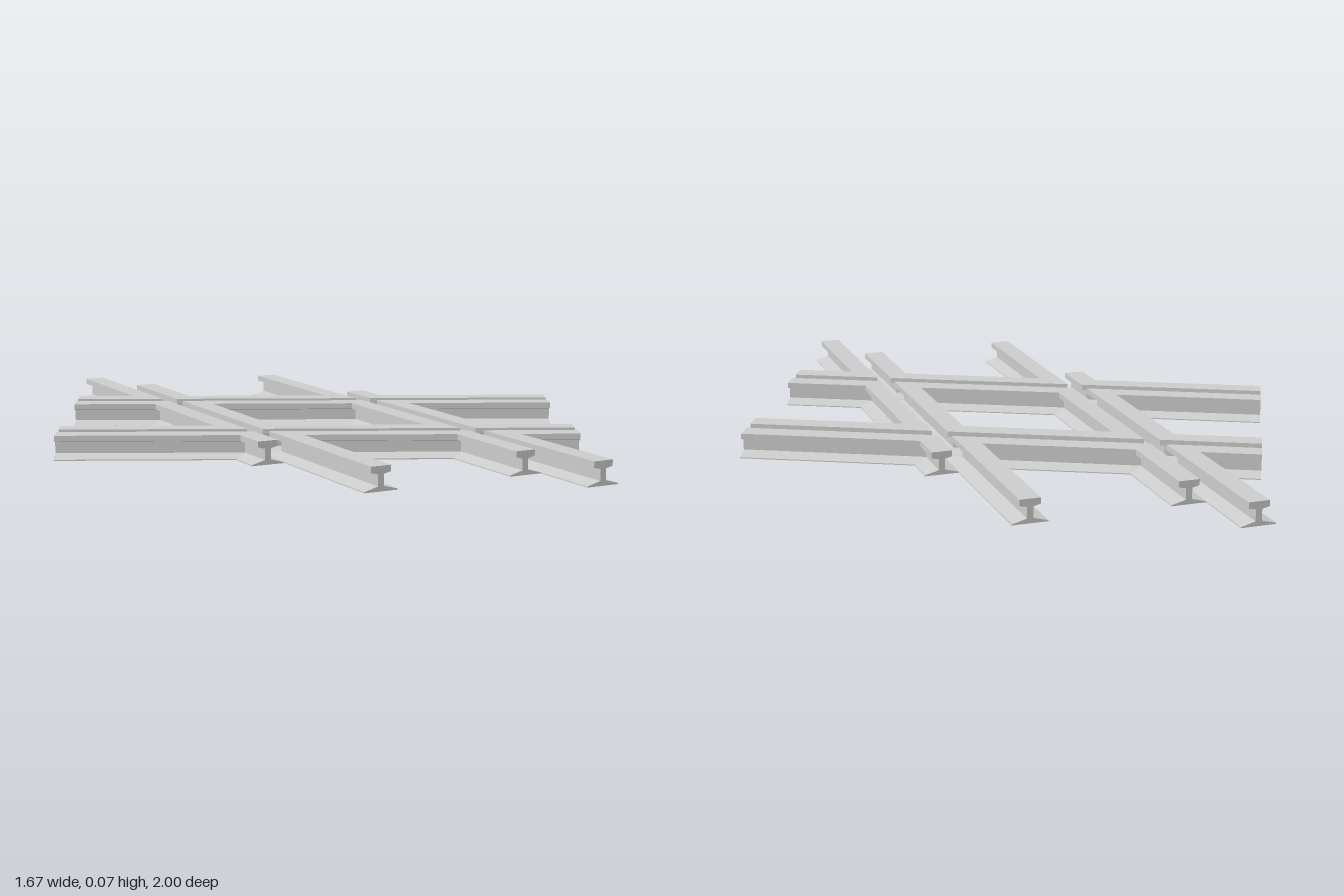
import * as THREE from 'three';

// Rail cross-section: [distance from flangeway centre line, height], counter-clockwise
const PROFILE = [
  [0, 0], [0.1, 0], [0.1, 0.003], [0.059, 0.014], [0.059, 0.046], [0.08, 0.051], [0.08, 0.068],
  [0.02, 0.068], [0.02, 0.051], [0.041, 0.046], [0.041, 0.014], [0, 0.003],
].map(([d, y]) => new THREE.Vector2(d, y));

// Sweeps the profile along a path in the x/z plane, mitring every corner
function sweepRail(path, closed) {
  const pts = path.map(([x, z]) => new THREE.Vector2(x, z));
  const n = pts.length;
  const normal = (a, b) => {
    const t = b.clone().sub(a).normalize();
    return new THREE.Vector2(-t.y, t.x);
  };
  const sections = pts.map((p, i) => {
    const hasPrev = closed || i > 0, hasNext = closed || i < n - 1;
    const n1 = hasPrev ? normal(pts[(i + n - 1) % n], p) : normal(p, pts[i + 1]);
    const n2 = hasNext ? normal(p, pts[(i + 1) % n]) : n1;
    const m = n1.clone().add(n2).divideScalar(1 + n1.dot(n2));
    return PROFILE.map((q) => [p.x + m.x * q.x, q.y, p.y + m.y * q.x]);
  });

  const pos = [];
  const tri = (a, b, c) => pos.push(...a, ...b, ...c);
  const spans = closed ? n : n - 1;
  for (let i = 0; i < spans; i++) {
    const s = sections[i], e = sections[(i + 1) % n];
    for (let k = 0; k < s.length; k++) {
      const j = (k + 1) % s.length;
      tri(s[k], e[k], s[j]);
      tri(s[j], e[k], e[j]);
    }
  }
  // Sawn rail ends
  if (!closed) {
    const first = sections[0], last = sections[n - 1];
    for (const [a, b, c] of THREE.ShapeUtils.triangulateShape(PROFILE, [])) {
      tri(first[a], first[b], first[c]);
      tri(last[a], last[c], last[b]);
    }
  }
  const geo = new THREE.BufferGeometry();
  geo.setAttribute('position', new THREE.Float32BufferAttribute(pos, 3));
  geo.computeVertexNormals();
  return geo;
}

export function createModel() {
  const group = new THREE.Group();
  group.name = 'railCrossing';
  const material = new THREE.MeshStandardMaterial({ color: 0xcccccc, flatShading: true });

  const add = (name, path, closed = false) => {
    const mesh = new THREE.Mesh(sweepRail(path, closed), material);
    mesh.name = name;
    group.add(mesh);
  };
  const opposite = (path) => path.map(([x, z]) => [-x, -z]);

  // Flangeway crossings and the ends of the slanted tracks
  const X = 0.275;
  const backRight = [-X, -0.445], backLeft = [X, -0.17];
  const frontLeft = [X, 0.445], frontRight = [-X, 0.17];
  const slantEndA = [-0.544, -0.58], slantEndB = [-0.788, -0.088], slantEndC = [0.788, 0.088];

  // Closed rail around the middle opening
  add('centreRail', [backRight, backLeft, frontLeft, frontRight], true);

  // Bent rails come in pairs, turned half a circle about the centre
  const pairs = [
    ['backRail', 'frontRail', [[X, -0.788], backLeft, backRight, [-X, -0.788]]],
    ['rightRail', 'leftRail', [slantEndA, backRight, frontRight, slantEndB]],
    ['backRightCornerRail', 'frontLeftCornerRail', [[-X, -1], backRight, slantEndA]],
    ['backLeftCornerRail', 'frontRightCornerRail', [slantEndC, backLeft, [X, -0.333]]],
  ];
  for (const [name, otherName, path] of pairs) {
    add(name, path);
    add(otherName, opposite(path));
  }
  return group;
}
